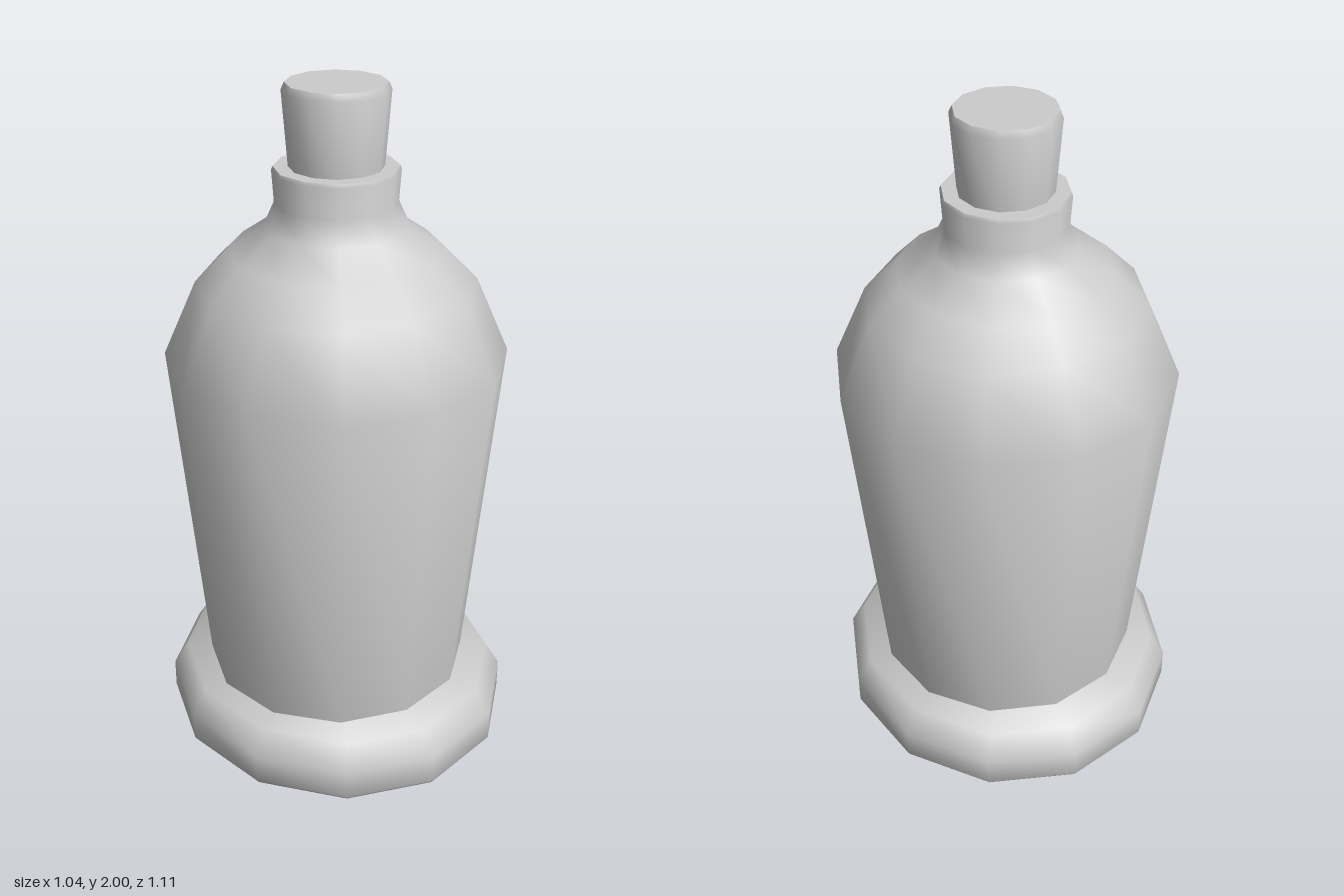
import * as THREE from 'three';
import { toCreasedNormals } from 'three/addons/utils/BufferGeometryUtils.js';

const SIDES = 12;

// Turned part from a [radius, height] profile, listed bottom to top
function turned(name, profile, material) {
  const points = profile.map(([r, y]) => new THREE.Vector2(r, y));
  const lathe = new THREE.LatheGeometry(points, SIDES);
  const mesh = new THREE.Mesh(toCreasedNormals(lathe, THREE.MathUtils.degToRad(60)), material);
  mesh.name = name;
  return mesh;
}

export function createModel() {
  const group = new THREE.Group();
  group.name = 'bottle';
  const grey = new THREE.MeshStandardMaterial({ color: 0xcccccc });

  // Foot: bevelled disc, slightly narrower across x
  const foot = turned('foot', [
    [0, 0], [0.546, 0], [0.555, 0.012], [0.555, 0.1], [0.507, 0.175], [0, 0.175],
  ], grey);
  foot.scale.x = 0.937;

  // Body: tapered wall, domed shoulder, neck and flat rim
  const body = turned('body', [
    [0.403, 0.17], [0.5, 1.215], [0.403, 1.435], [0.31, 1.53], [0.205, 1.602],
    [0.174, 1.67], [0.18, 1.76], [0.176, 1.77], [0.12, 1.77],
  ], grey);

  // Stopper: flares upward, with a small bevel on top
  const stopper = turned('stopper', [
    [0, 1.72], [0.13, 1.72], [0.15, 1.98], [0.141, 2], [0, 2],
  ], grey);

  group.add(foot, body, stopper);
  return group;
}
